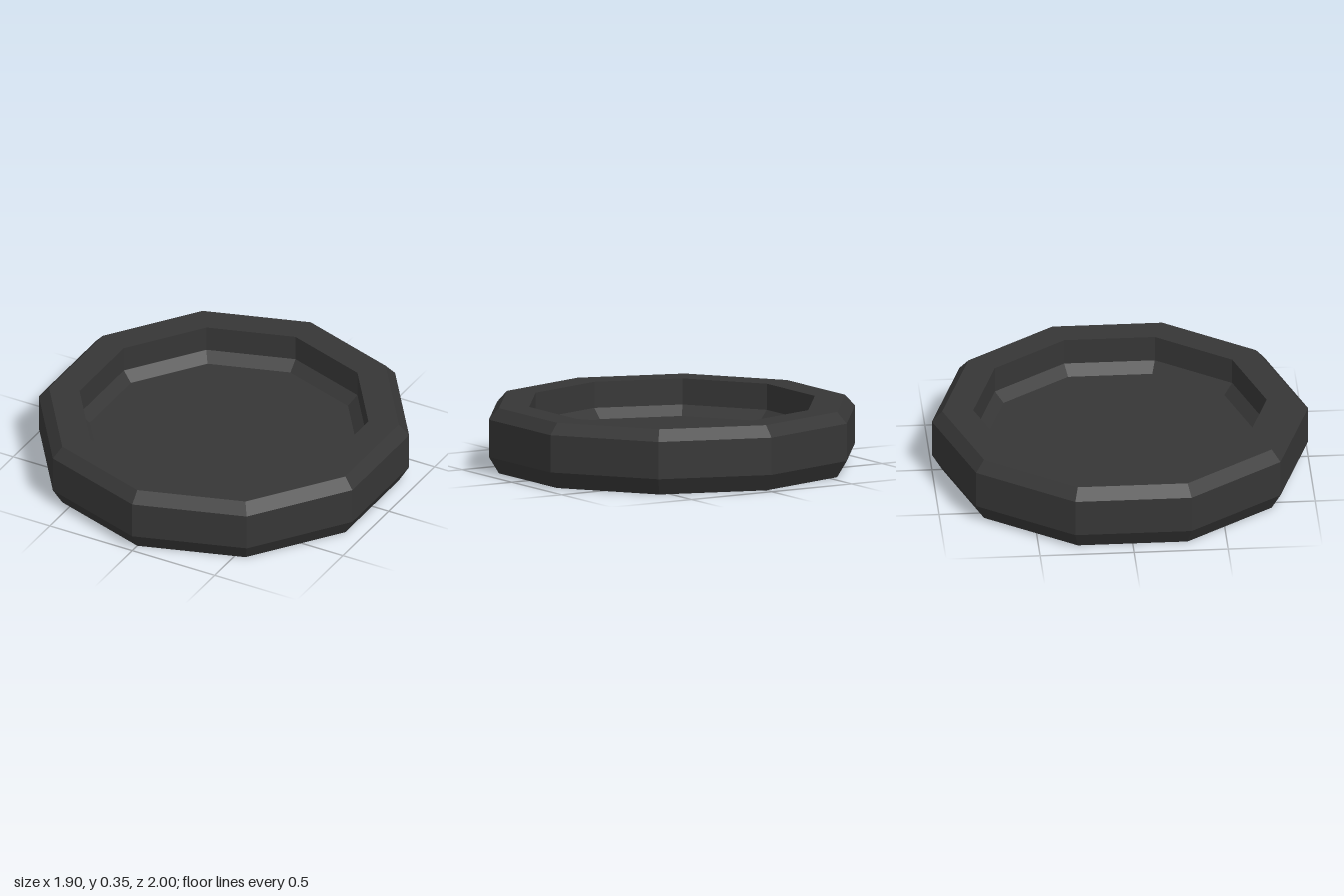
import * as THREE from 'three';

const SIDES = 10;

// Ten-sided faceted surface of revolution from [radius, height] pairs
function facetedLathe(name, profile, material) {
  const points = profile.map(([r, y]) => new THREE.Vector2(r, y));
  const geometry = new THREE.LatheGeometry(points, SIDES).toNonIndexed();
  geometry.computeVertexNormals();
  const mesh = new THREE.Mesh(geometry, material);
  mesh.name = name;
  return mesh;
}

export function createModel() {
  const group = new THREE.Group();
  group.name = 'shallowDish';

  const charcoal = new THREE.MeshStandardMaterial({ color: 0x363636 });
  charcoal.name = 'charcoal';

  // Underside, bevelled outer wall and flat rim
  group.add(facetedLathe('outerShell', [
    [0, 0], [0.945, 0], [1, 0.09], [1, 0.29], [0.945, 0.35], [0.78, 0.35],
  ], charcoal));

  // Recess wall, sloped ledge and floor
  group.add(facetedLathe('recess', [
    [0.78, 0.35], [0.78, 0.21], [0.725, 0.157], [0, 0.157],
  ], charcoal));

  return group;
}
